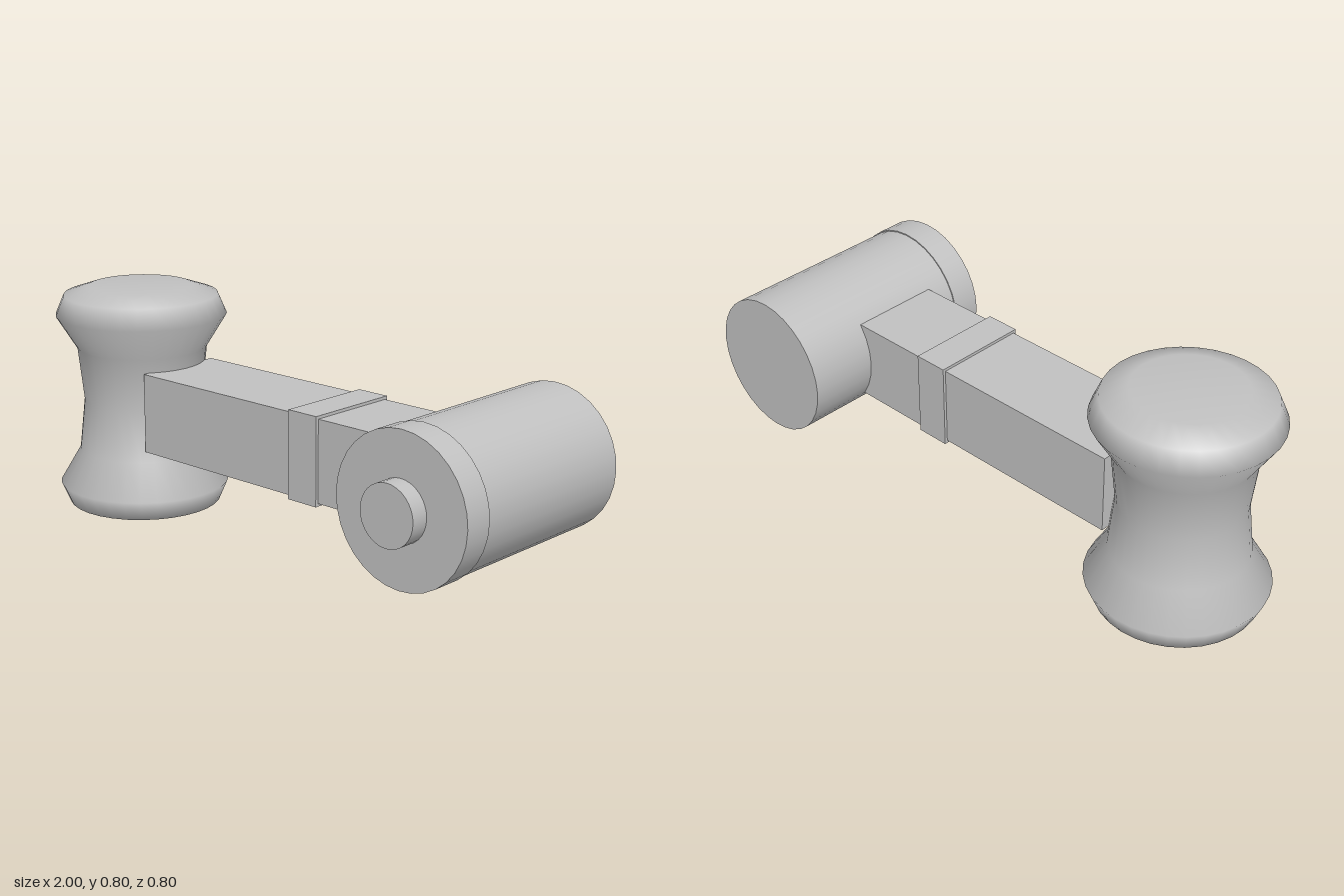
import * as THREE from 'three';

export function createModel() {
  const model = new THREE.Group();
  const grey = new THREE.MeshStandardMaterial({ color: 0xc0c0c0 });
  grey.name = 'plain grey';

  const add = (name, geometry, x, y, z) => {
    const mesh = new THREE.Mesh(geometry, grey);
    mesh.name = name;
    mesh.position.set(x, y, z);
    model.add(mesh);
    return mesh;
  };

  // Waisted spool: rounded sides with flat ends
  const profile = [
    [0, 0], [0.18, 0], [0.267, 0.03], [0.297, 0.1], [0.226, 0.22], [0.206, 0.4],
    [0.226, 0.585], [0.297, 0.7], [0.267, 0.77], [0.18, 0.8], [0, 0.8],
  ].map(([r, y]) => new THREE.Vector2(r, y));
  add('spool', new THREE.LatheGeometry(profile, 32), -0.703, 0, 0);

  // Square arm with a slightly wider band
  add('arm', new THREE.BoxGeometry(1.085, 0.274, 0.316), 0.0175, 0.402, -0.003);
  add('armBand', new THREE.BoxGeometry(0.118, 0.294, 0.336), 0.214, 0.402, -0.003);

  // Drum lying along z, with a front cap and a small button
  const drumPart = (name, radius, back, front) => {
    const geometry = new THREE.CylinderGeometry(radius, radius, front - back, 32);
    geometry.rotateX(Math.PI / 2);
    add(name, geometry, 0.756, 0.401, (back + front) / 2);
  };
  drumPart('drum', 0.239, -0.4, 0.25);
  drumPart('drumCap', 0.243, 0.24, 0.34);
  drumPart('drumButton', 0.098, 0.33, 0.4);

  return model;
}
